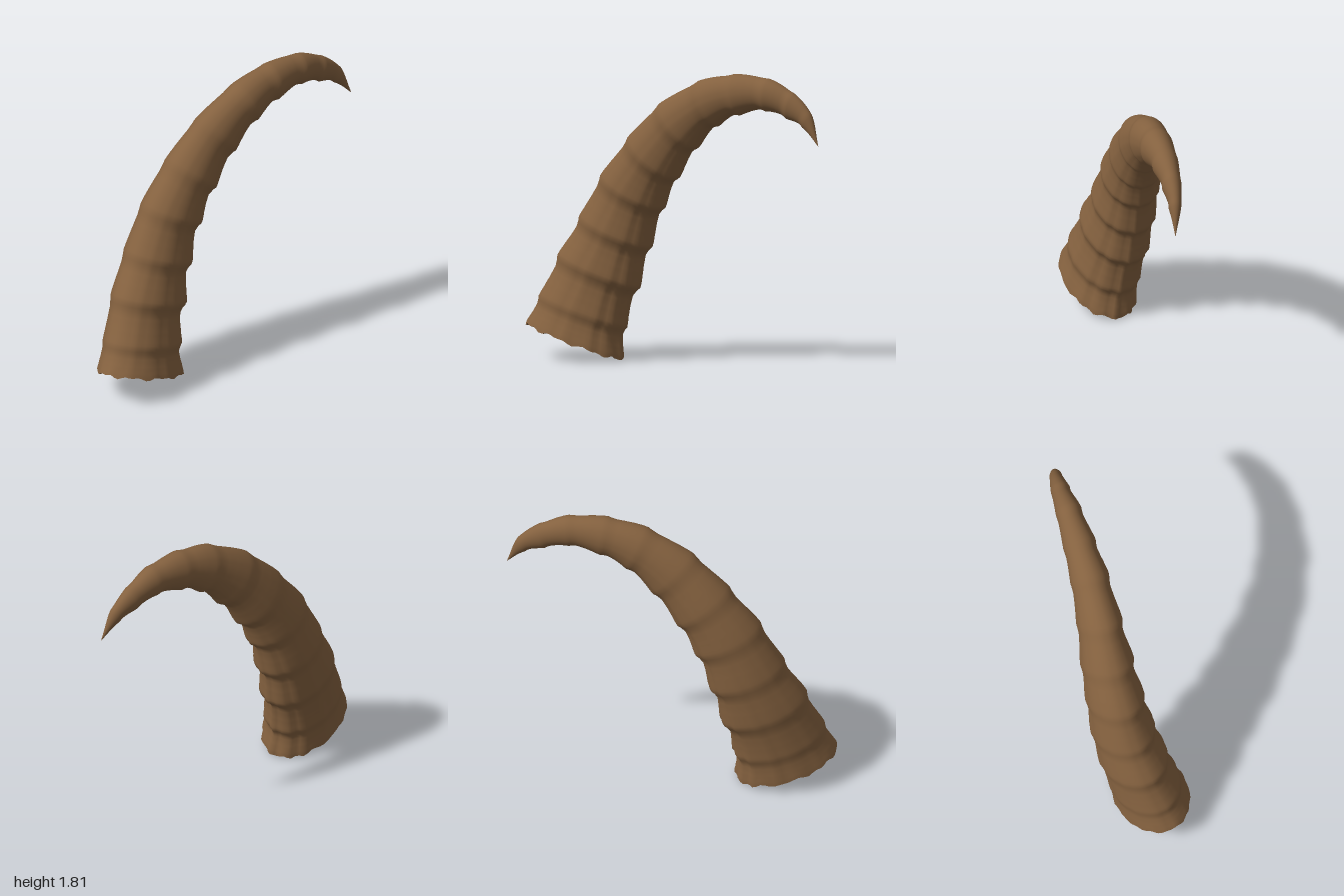
import * as THREE from 'three';

// One row per ridge, base to tip: outer edge x,y / inner edge x,y / centre z / z lean of the ring / side radius
const RIDGES = [
  [-1.0, 0.22, -0.40, 0.02, 0.04, 0.12, 0.22],
  [-0.93, 0.385, -0.39, 0.21, 0.01, 0.12, 0.207],
  [-0.83, 0.635, -0.32, 0.45, -0.035, 0.10, 0.202],
  [-0.70, 0.88, -0.25, 0.70, -0.067, 0.08, 0.19],
  [-0.56, 1.14, -0.16, 0.945, -0.08, 0.06, 0.175],
  [-0.37, 1.385, -0.05, 1.14, -0.08, 0.04, 0.161],
  [-0.15, 1.60, 0.10, 1.34, -0.07, 0.03, 0.138],
  [0.13, 1.76, 0.26, 1.49, -0.06, 0.02, 0.12],
  [0.38, 1.82, 0.42, 1.57, -0.06, 0.01, 0.102],
  [0.62, 1.81, 0.61, 1.61, -0.06, 0, 0.081],
  [0.80, 1.735, 0.76, 1.575, -0.06, 0, 0.06],
  [0.93, 1.62, 0.88, 1.53, -0.05, 0, 0.038],
  [1.0, 1.43, 0.997, 1.43, -0.03, 0, 0.001],
];
const LAST = RIDGES.length - 1, STEPS = 12, SIDES = 64;

const spline = (pick) => new THREE.CatmullRomCurve3(
  RIDGES.map((r) => new THREE.Vector3(...pick(r))), false, 'catmullrom', 0.5);
const centre = spline((r) => [(r[0] + r[2]) / 2, (r[1] + r[3]) / 2, r[4]]);
const across = spline((r) => [(r[0] - r[2]) / 2, (r[1] - r[3]) / 2, r[5] / 2]);
const side = spline((r) => [r[6], 0, 0]);

// Depth below the ridge: a gentle slope up to a valley, then a quick rise to the next ridge
const DIP = [[0, 0], [0.1, 0.06], [0.3, 0.4], [0.55, 0.8], [0.75, 1], [0.9, 0.55], [1, 0]];
function dip(t) {
  let k = 0;
  while (k < DIP.length - 2 && t > DIP[k + 1][0]) k++;
  const [a, va] = DIP[k], [b, vb] = DIP[k + 1];
  return THREE.MathUtils.lerp(va, vb, THREE.MathUtils.smoothstep(t, a, b) * 0.5 + (t - a) / (b - a) * 0.5);
}

// Closed ring of points around the horn at ridge position s
function ring(s, scale = 1) {
  const u = s / LAST;
  const c = centre.getPoint(u), T = centre.getTangent(u), U = across.getPoint(u);
  const V = T.clone().cross(U).normalize().multiplyScalar(side.getPoint(u).x);
  const d = dip(s % 1) * (s < 1 ? 0.6 : 1), fade = Math.max(0, 1 - s / 9);
  const points = [];
  for (let j = 0; j < SIDES; j++) {
    const a = (j / SIDES) * Math.PI * 2;
    const depth = 0.09 - 0.025 * Math.cos(a) + 0.035 * Math.sin(a);
    // Lengthwise grooves, strongest on the inner curve
    const groove = fade * (0.012 - 0.008 * Math.cos(a)) * (Math.sin(a * 13) + 0.6 * Math.sin(a * 21 + 1));
    const r = scale * (1 - depth * d + groove);
    const p = c.clone().addScaledVector(U, Math.cos(a) * r).addScaledVector(V, Math.sin(a) * r);
    // Ragged edge at the base
    const ragged = Math.max(0, 1 - s * 3) * 0.006;
    p.addScaledVector(T, ragged * (Math.sin(a * 17) + Math.sin(a * 9 + 2)));
    points.push(p);
  }
  return points;
}

// Skin a list of rings into one smooth surface
function loft(rings) {
  const index = [];
  for (let i = 0; i < rings.length - 1; i++) {
    for (let j = 0; j < SIDES; j++) {
      const n = (j + 1) % SIDES;
      const a = i * SIDES + j, b = i * SIDES + n, c = a + SIDES, d = b + SIDES;
      index.push(a, b, c, b, d, c);
    }
  }
  const geometry = new THREE.BufferGeometry().setFromPoints(rings.flat());
  geometry.setIndex(index);
  geometry.computeVertexNormals();
  return geometry;
}

export function createModel() {
  const group = new THREE.Group();
  group.name = 'horn';
  const brown = new THREE.MeshStandardMaterial({ color: 0x84613f, side: THREE.DoubleSide });
  brown.name = 'horn brown';

  // Ridged, tapering shell
  const rings = [];
  for (let i = 0; i <= LAST * STEPS; i++) rings.push(ring(i / STEPS));
  const shell = new THREE.Mesh(loft(rings), brown);
  shell.name = 'ridgedShell';

  // Slightly hollowed underside of the base
  const base = new THREE.Mesh(loft([ring(0.12, 0.001), ring(0.12, 0.9), ring(0, 0.95), ring(0)]), brown);
  base.name = 'hollowBase';

  group.add(shell, base);
  return group;
}
